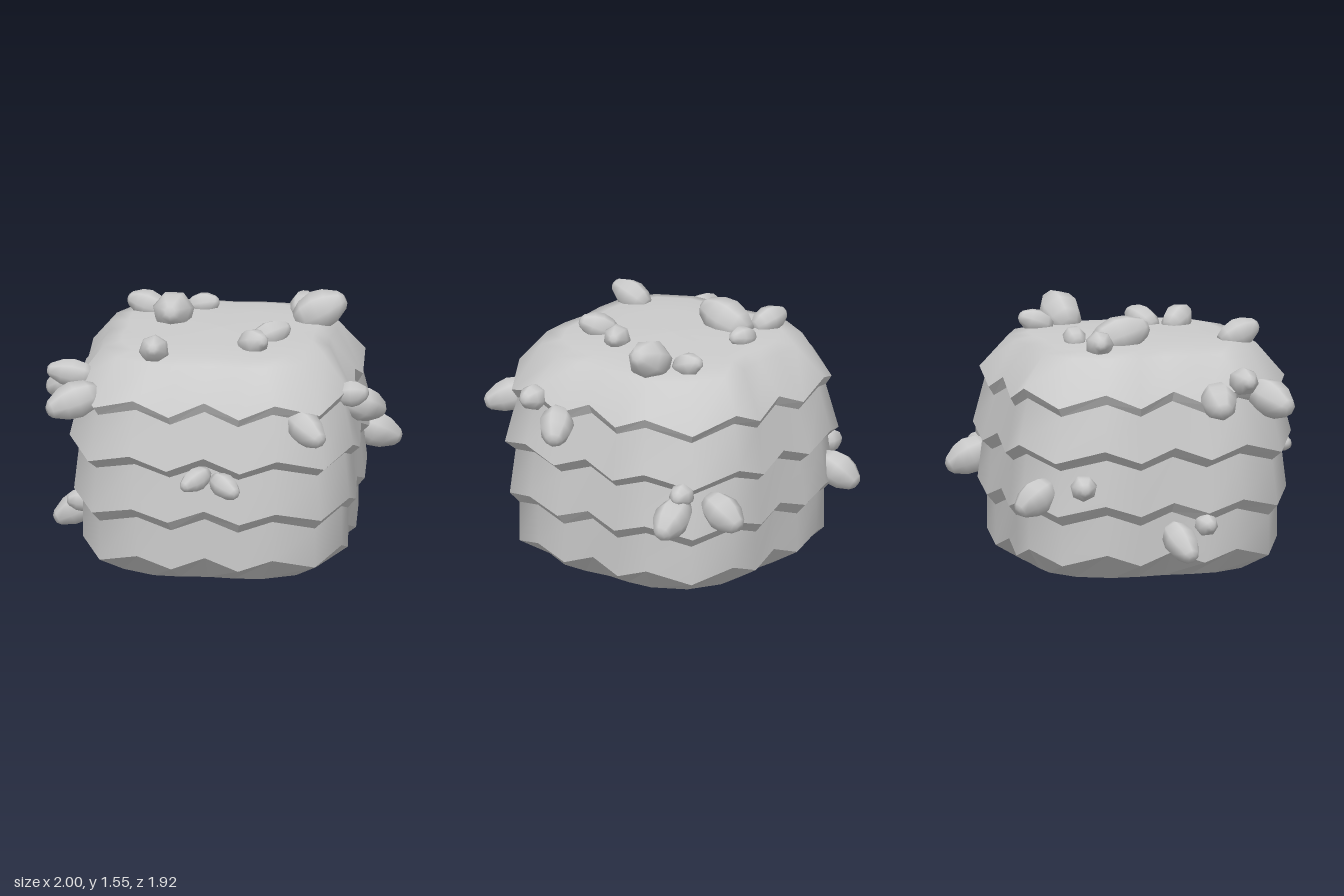
import * as THREE from 'three';

// Quarter of the rounded-square outline [x, z]; odd points are the low tips of the zigzag
const QUARTER = [[0, 0.975], [0.255, 1], [0.515, 0.985], [0.82, 0.82], [0.985, 0.515], [1, 0.255]];
const OUTLINE = [];
for (let q = 0, pts = QUARTER; q < 4; q++, pts = pts.map(([x, z]) => [z, -x])) OUTLINE.push(...pts);

// Skin between stacked rings, each ring [halfWidth, y at peaks, y at tips]
function band(name, rings, material) {
  const n = OUTLINE.length, pos = [], idx = [];
  rings.forEach(([h, yHigh, yLow = yHigh]) =>
    OUTLINE.forEach(([x, z], i) => pos.push(x * h, i % 2 ? yLow : yHigh, z * h)));
  for (let r = 0; r < rings.length - 1; r++) {
    for (let i = 0; i < n; i++) {
      const a = r * n + i, b = r * n + (i + 1) % n;
      idx.push(a, b, b + n, a, b + n, a + n);
    }
  }
  const geo = new THREE.BufferGeometry();
  geo.setAttribute('position', new THREE.Float32BufferAttribute(pos, 3));
  geo.setIndex(idx);
  geo.computeVertexNormals();
  const mesh = new THREE.Mesh(geo, material);
  mesh.name = name;
  return mesh;
}

// Stubby crystal: [distance along, relative radius]
const CRYSTAL = [[0, 0], [0, 0.5], [0.18, 0.82], [0.45, 1], [0.68, 0.88], [0.93, 0.5], [1, 0.25], [1, 0]];

function crystal(name, [tail, tip, radius], material, turn) {
  const from = new THREE.Vector3(...tail), dir = new THREE.Vector3(...tip).sub(from);
  const length = dir.length();
  const geo = new THREE.LatheGeometry(
    CRYSTAL.map(([t, r]) => new THREE.Vector2(r * radius, t * length)), 7, turn);
  const mesh = new THREE.Mesh(geo, material);
  mesh.position.copy(from);
  mesh.quaternion.setFromUnitVectors(new THREE.Vector3(0, 1, 0), dir.normalize());
  mesh.name = name;
  return mesh;
}

// Each crystal: buried end, free end, radius
const TOP = [
  [[-0.30, 1.37, -0.33], [-0.30, 1.47, 0.0], 0.125],
  [[-0.37, 1.38, -0.33], [-0.59, 1.43, -0.38], 0.085],
  [[-0.24, 1.38, -0.41], [-0.06, 1.42, -0.40], 0.07],
  [[0.42, 1.37, -0.36], [0.44, 1.44, -0.55], 0.075],
  [[0.42, 1.36, -0.25], [0.70, 1.50, -0.28], 0.125],
  [[0.22, 1.37, 0.21], [0.42, 1.44, 0.11], 0.082],
  [[0.17, 1.37, 0.28], [0.31, 1.45, 0.44], 0.085],
  [[-0.33, 1.36, 0.44], [-0.32, 1.45, 0.67], 0.09],
];
const SIDES = [
  // front
  [[0.02, 0.74, 0.79], [-0.11, 0.68, 0.94], 0.07],
  [[0.06, 0.70, 0.79], [0.21, 0.65, 0.94], 0.075],
  [[0.50, 1.05, 0.64], [0.70, 0.96, 0.84], 0.10],
  // +x side
  [[0.74, 1.12, 0.39], [0.92, 1.14, 0.39], 0.08],
  [[0.76, 1.06, 0.25], [0.98, 0.95, 0.12], 0.105],
  // back corner, +x
  [[0.56, 0.66, -0.70], [0.58, 0.54, -0.95], 0.11],
  [[0.70, 0.66, -0.62], [0.98, 0.54, -0.67], 0.11],
  [[0.66, 0.71, -0.62], [0.83, 0.73, -0.67], 0.075],
  // back corner, -x
  [[-0.56, 0.60, -0.68], [-0.61, 0.46, -0.90], 0.105],
  [[-0.69, 0.61, -0.53], [-0.87, 0.61, -0.57], 0.08],
  // -x side, upper
  [[-0.70, 1.19, 0.42], [-0.97, 1.22, 0.42], 0.085],
  [[-0.66, 1.13, 0.54], [-0.94, 1.04, 0.67], 0.115],
  [[-0.73, 1.14, 0.27], [-0.99, 1.05, 0.25], 0.11],
  // -x side, lower
  [[-0.70, 0.34, 0.01], [-0.97, 0.19, 0.06], 0.10],
  [[-0.72, 0.36, 0.19], [-0.88, 0.36, 0.21], 0.07],
];

export function createModel() {
  const model = new THREE.Group();
  const smooth = new THREE.MeshStandardMaterial({ color: 0xcccccc });
  const flat = new THREE.MeshStandardMaterial({ color: 0xcccccc, flatShading: true });

  // Tiers from the ground up: zigzag hem, then top edge tucked under the next hem
  const tiers = [
    [[0.775, 0.2, 0.13], [0.775, 0.44, 0.37]],
    [[0.825, 0.5, 0.43], [0.795, 0.77, 0.7]],
    [[0.85, 0.83, 0.75], [0.785, 1.1, 1.02]],
    [[0.815, 1.16, 1.07], [0.665, 1.345], [0.56, 1.37], [0.35, 1.383], [0, 1.39]],
  ];
  let below = [0.62, 0.04, 0.04];
  model.add(band('underside', [[0, 0], below], flat));
  tiers.forEach((rings, i) => {
    model.add(band(`hem${i + 1}`, [below, rings[0]], flat));
    model.add(band(i === 3 ? 'cap' : `tier${i + 1}`, rings, smooth));
    below = rings[rings.length - 1];
  });

  // Crystals sprouting from the top and the sides
  [['topCrystals', TOP], ['sideCrystals', SIDES]].forEach(([name, list]) => {
    const group = new THREE.Group();
    group.name = name;
    list.forEach((c, i) => group.add(crystal(`crystal${i + 1}`, c, smooth, i * 0.7)));
    model.add(group);
  });
  return model;
}
